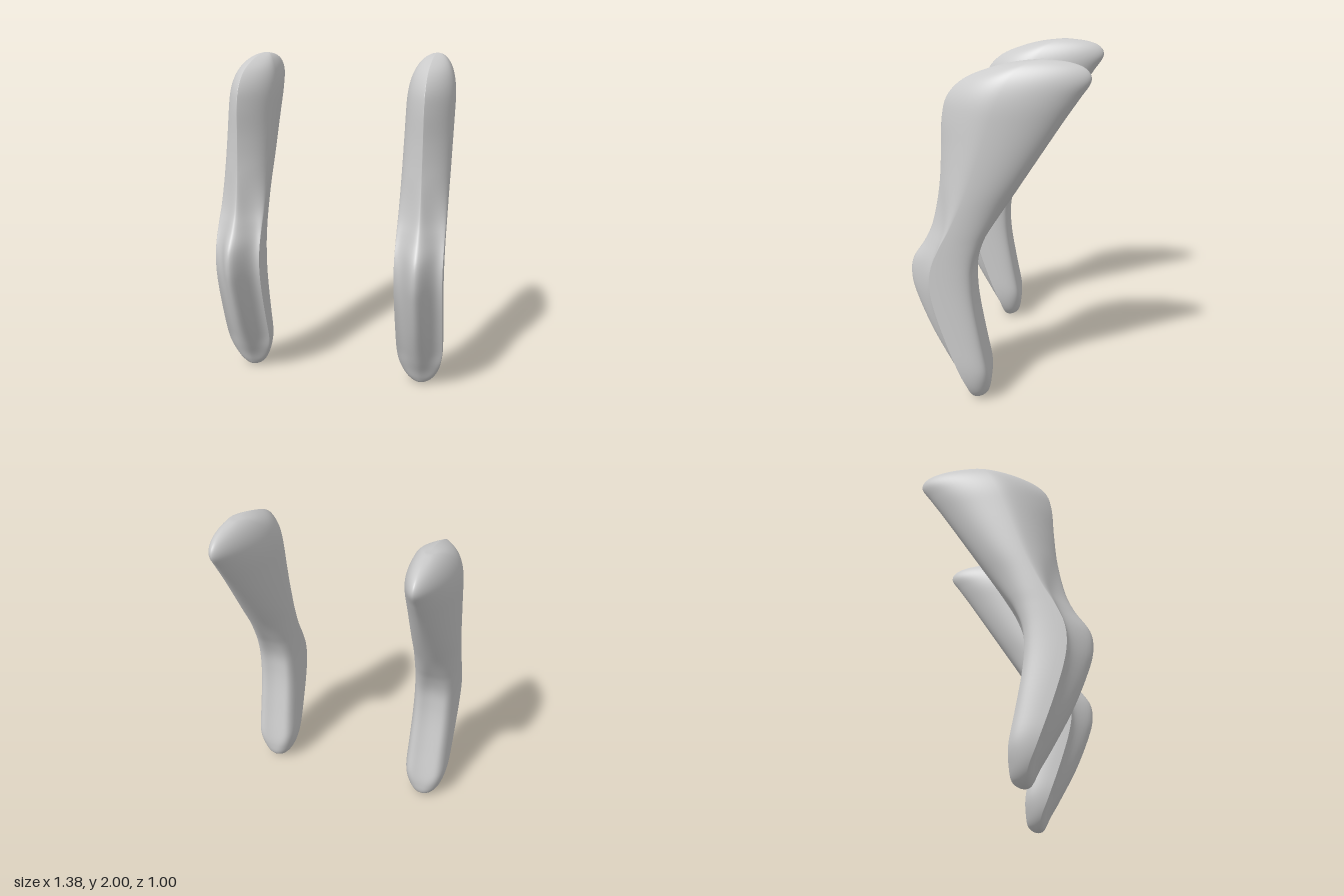
import * as THREE from 'three';
import { mergeVertices } from 'three/addons/utils/BufferGeometryUtils.js';

// Levels from foot to top: height, front ridge z, widest line z, back edge z
const LEVELS = [
  [0, 0.12, 0.12, 0.12], [0.01, 0.15, 0.12, 0.085], [0.04, 0.17, 0.13, 0.053], [0.1, 0.2, 0.15, 0.04],
  [0.2, 0.26, 0.195, 0.042], [0.4, 0.37, 0.27, 0.08], [0.6, 0.455, 0.333, 0.115], [0.74, 0.495, 0.357, 0.127],
  [0.86, 0.485, 0.345, 0.12], [0.98, 0.41, 0.295, 0.077], [1.1, 0.358, 0.23, 0.008], [1.3, 0.318, 0.14, -0.118],
  [1.5, 0.302, 0.07, -0.245], [1.68, 0.293, 0.01, -0.36], [1.8, 0.26, -0.035, -0.44], [1.89, 0.17, -0.08, -0.497],
  [1.95, 0.03, -0.13, -0.475], [1.985, -0.11, -0.19, -0.39], [2, -0.25, -0.25, -0.25],
];
const HALF_WIDTH = 0.14, ROWS = 108, QUARTER = 16;
const { lerp, smoothstep, clamp } = THREE.MathUtils;

// Half width, rounded off at the foot and the top
function halfWidth(y) {
  const d = Math.min(1, Math.min(y, 2 - y) / 0.31);
  return HALF_WIDTH * Math.sqrt(1 - Math.pow(1 - d, 2.5));
}

// Point of a cross-section: a lens at the foot and thigh, a ridged and grooved chevron around the knee
function sectionPoint(k, y, front, side, back) {
  const angle = (k / (QUARTER * 4)) * Math.PI * 2;
  const s = Math.cos(angle), c = Math.sin(angle);
  const as = Math.abs(s), ac = Math.abs(c);
  const isFront = s >= 0;
  const depth = (isFront ? front : back) - side;
  const frontLens = lerp(1.2, 1.9, smoothstep(y, 0.2, 1.2));
  const backLens = lerp(1, 1.2, smoothstep(y, 1.3, 1.8));
  const lensX = Math.pow(ac, isFront ? frontLens : backLens);
  const boxX = isFront ? ac : Math.pow(ac, 0.62);
  const bump = (1 + Math.cos(Math.PI * boxX)) / 2;
  const boxDepth = isFront ? Math.pow(bump, 1.4) : (Math.pow(as, 0.7) - 0.2 * bump) / 0.86;
  const fade = isFront ? smoothstep(y, 0.85, 1.35) : smoothstep(y, 0.8, 1.25);
  const chevron = smoothstep(y, 0, 0.24) * (1 - fade);
  return [
    Math.sign(c) * halfWidth(y) * lerp(lensX, boxX, chevron), y,
    side + depth * lerp(as, boxDepth, chevron),
  ];
}

function legGeometry() {
  const curve = (pick) => new THREE.CatmullRomCurve3(LEVELS.map(pick), false, 'catmullrom', 0.5);
  const heights = curve(l => new THREE.Vector3(0, l[0], 0));
  const depths = curve(l => new THREE.Vector3(l[1], l[2], l[3]));
  const n = QUARTER * 4, positions = [], index = [];
  for (let j = 0; j <= ROWS; j++) {
    const y = clamp(heights.getPoint(j / ROWS).y, 0, 2);
    const d = depths.getPoint(j / ROWS);
    for (let k = 0; k < n; k++) positions.push(...sectionPoint(k, y, d.x, d.y, d.z));
  }
  for (let j = 0; j < ROWS; j++) {
    for (let k = 0; k < n; k++) {
      const a = j * n + k, b = j * n + (k + 1) % n;
      index.push(a, b, b + n, a, b + n, a + n);
    }
  }
  const geometry = new THREE.BufferGeometry();
  geometry.setAttribute('position', new THREE.Float32BufferAttribute(positions, 3));
  geometry.setIndex(index);
  // Close the two poles so they shade smoothly
  const merged = mergeVertices(geometry, 1e-5);
  merged.computeVertexNormals();
  return merged;
}

export function createModel() {
  const group = new THREE.Group();
  group.name = 'curvedLegs';
  const geometry = legGeometry();
  const material = new THREE.MeshStandardMaterial({ color: 0xcccccc });
  for (const [name, x] of [['leftLeg', 0.55], ['rightLeg', -0.55]]) {
    const leg = new THREE.Mesh(geometry, material);
    leg.name = name;
    leg.position.x = x;
    group.add(leg);
  }
  return group;
}
